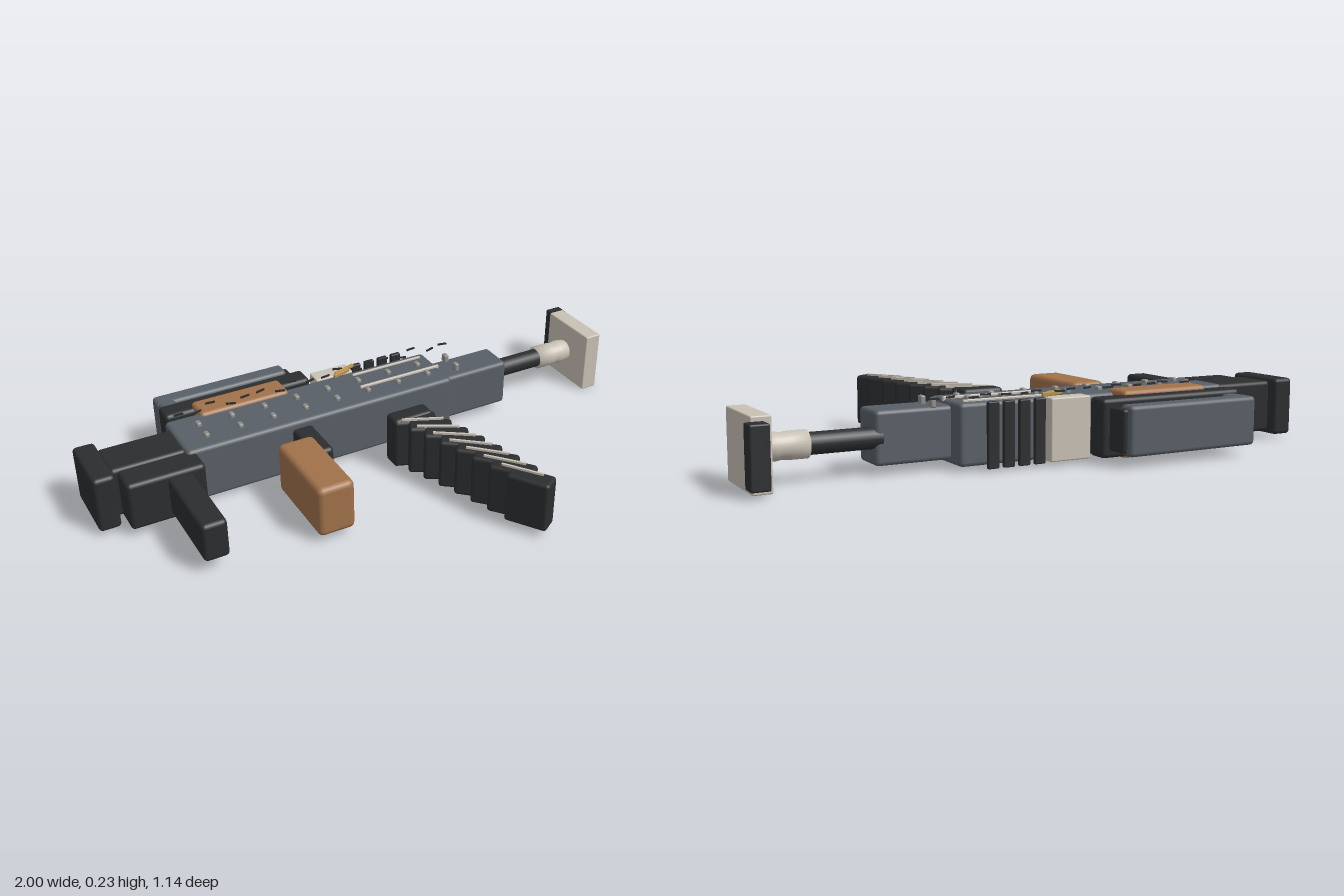
import * as THREE from 'three';
import { RoundedBoxGeometry } from 'three/addons/geometries/RoundedBoxGeometry.js';

const paint = (color) => new THREE.MeshStandardMaterial({ color });

export function createModel() {
  const model = new THREE.Group();
  const dark = paint(0x2b2d2f), slate = paint(0x585f66), wood = paint(0xa0714a);
  const bone = paint(0xc8c0b4), brass = paint(0xb8904a), steel = paint(0x8f8d89);

  const add = (name, geometry, material, parent = model) => {
    const mesh = new THREE.Mesh(geometry, material);
    mesh.name = name;
    parent.add(mesh);
    return mesh;
  };
  // Bevelled block given by its extents on each axis
  const block = (name, mat, [x0, x1], [y0, y1], [z0, z1], bevel = 0.014) => {
    const w = x1 - x0, h = y1 - y0, d = z1 - z0;
    const r = Math.min(bevel, Math.min(w, h, d) * 0.35);
    const mesh = add(name, new RoundedBoxGeometry(w, h, d, 2, r), mat);
    mesh.position.set((x0 + x1) / 2, (y0 + y1) / 2, (z0 + z1) / 2);
    return mesh;
  };

  // Body and stock
  block('receiver', slate, [-0.68, 0.325], [0.015, 0.213], [-0.37, -0.15]);
  block('foreEnd', slate, [0.31, 0.575], [0.03, 0.2], [-0.305, -0.175]);
  block('stock', dark, [-0.93, -0.67], [0.025, 0.205], [-0.33, -0.18]);
  block('buttPlate', dark, [-1, -0.925], [0.015, 0.215], [-0.365, -0.135]);

  // Grips
  block('rearGripMount', dark, [-0.91, -0.645], [0.03, 0.203], [-0.182, -0.075]);
  block('rearGrip', dark, [-0.775, -0.69], [0.05, 0.187], [-0.09, 0.215]);
  block('gripMount', dark, [-0.305, -0.23], [0.045, 0.187], [-0.16, 0.015]);
  block('woodGrip', wood, [-0.4, -0.27], [0.025, 0.208], [-0.07, 0.245], 0.02);

  // Carry unit on the upper edge
  block('upperRail', dark, [-0.665, -0.12], [0.02, 0.21], [-0.48, -0.4]);
  block('handle', slate, [-0.655, -0.16], [0.035, 0.197], [-0.575, -0.512]);
  block('handleRearPost', slate, [-0.65, -0.587], [0.035, 0.197], [-0.56, -0.47]);
  block('handleFrontPost', dark, [-0.172, -0.145], [0.045, 0.185], [-0.555, -0.47]);
  block('woodPanel', wood, [-0.56, -0.23], [0.004, 0.224], [-0.435, -0.335]);
  block('ejectionPlate', bone, [-0.11, 0.035], [0.015, 0.217], [-0.425, -0.365], 0.005);
  for (let i = 0; i < 4; i++) {
    const x = 0.065 + i * 0.055;
    block('coolingFin', dark, [x - 0.019, x + 0.019], [0.01, 0.218], [-0.41, -0.394], 0.004);
  }

  // Barrel and rounded muzzle, turned around the x axis
  const barrel = add('barrel', new THREE.CylinderGeometry(0.034, 0.034, 0.26, 24), dark);
  barrel.rotation.z = -Math.PI / 2;
  barrel.position.set(0.68, 0.115, -0.275);
  const profile = [[0, 0], [0.043, 0], [0.043, 0.06], [0.04, 0.08], [0.044, 0.1], [0.04, 0.13], [0.03, 0.15], [0, 0.15]];
  const muzzle = add('muzzle', new THREE.LatheGeometry(profile.map(([r, y]) => new THREE.Vector2(r, y)), 28), bone);
  muzzle.rotation.z = -Math.PI / 2;
  muzzle.position.set(0.78, 0.115, -0.275);
  block('muzzlePlate', bone, [0.918, 0.98], [0, 0.225], [-0.385, -0.145], 0.005);
  block('frontSight', dark, [0.94, 1], [0.02, 0.21], [-0.44, -0.383], 0.006);

  // Curved magazine: overlapping tilted cells with thin ribs between them
  const magazine = new THREE.Group();
  magazine.name = 'magazine';
  model.add(magazine);
  block('magazineCollar', dark, [0.005, 0.155], [0.022, 0.21], [-0.062, 0.008]);
  const path = new THREE.QuadraticBezierCurve(
    new THREE.Vector2(0.085, 0.0), new THREE.Vector2(0.17, 0.22), new THREE.Vector2(0.232, 0.485));
  const place = (mesh, t) => {
    const p = path.getPoint(t);
    mesh.position.set(p.x, 0.115, p.y);
    mesh.rotation.y = -THREE.MathUtils.degToRad(22 + 35 * t);
  };
  const cells = 8;
  for (let i = 0; i < cells; i++) {
    const t = i / (cells - 1);
    place(add('magazineCell', new RoundedBoxGeometry(0.148, 0.18, 0.07, 2, 0.012), dark, magazine), t);
    if (i < cells - 1) {
      place(add('magazineRib', new THREE.BoxGeometry(0.142, 0.194, 0.008), bone, magazine), t + 0.5 / (cells - 1));
    }
  }

  // Rivets and raised strips on the upper face
  for (let i = 0; i < 9; i++) {
    for (const z of [-0.295, -0.22]) {
      const x = -0.585 + i * 0.121;
      block('rivet', steel, [x - 0.009, x + 0.009], [0.195, 0.226], [z - 0.013, z + 0.013], 0.006);
    }
  }
  block('longStrip', bone, [0.005, 0.325], [0.205, 0.221], [-0.253, -0.243], 0.003);
  block('edgeStrip', bone, [0.02, 0.3], [0.205, 0.22], [-0.342, -0.334], 0.003);
  block('brassPin', brass, [-0.04, 0.05], [0.218, 0.232], [-0.38, -0.37], 0.003).rotation.y = 0.3;
  block('brassPin', brass, [-0.05, 0.02], [0.218, 0.232], [-0.362, -0.352], 0.003).rotation.y = 0.3;

  // Row of small wear marks hovering at the upper face
  for (let i = 0; i < 18; i++) {
    const x = -0.63 + i * 0.061;
    const z = -0.36 + 0.022 * Math.sin(i * 2.4);
    const mark = add('wearMark', new THREE.BoxGeometry(0.034, 0.006, 0.005), dark);
    mark.position.set(x, 0.232, z);
    mark.rotation.y = 0.35 * Math.sin(i * 1.7);
  }
  return model;
}
